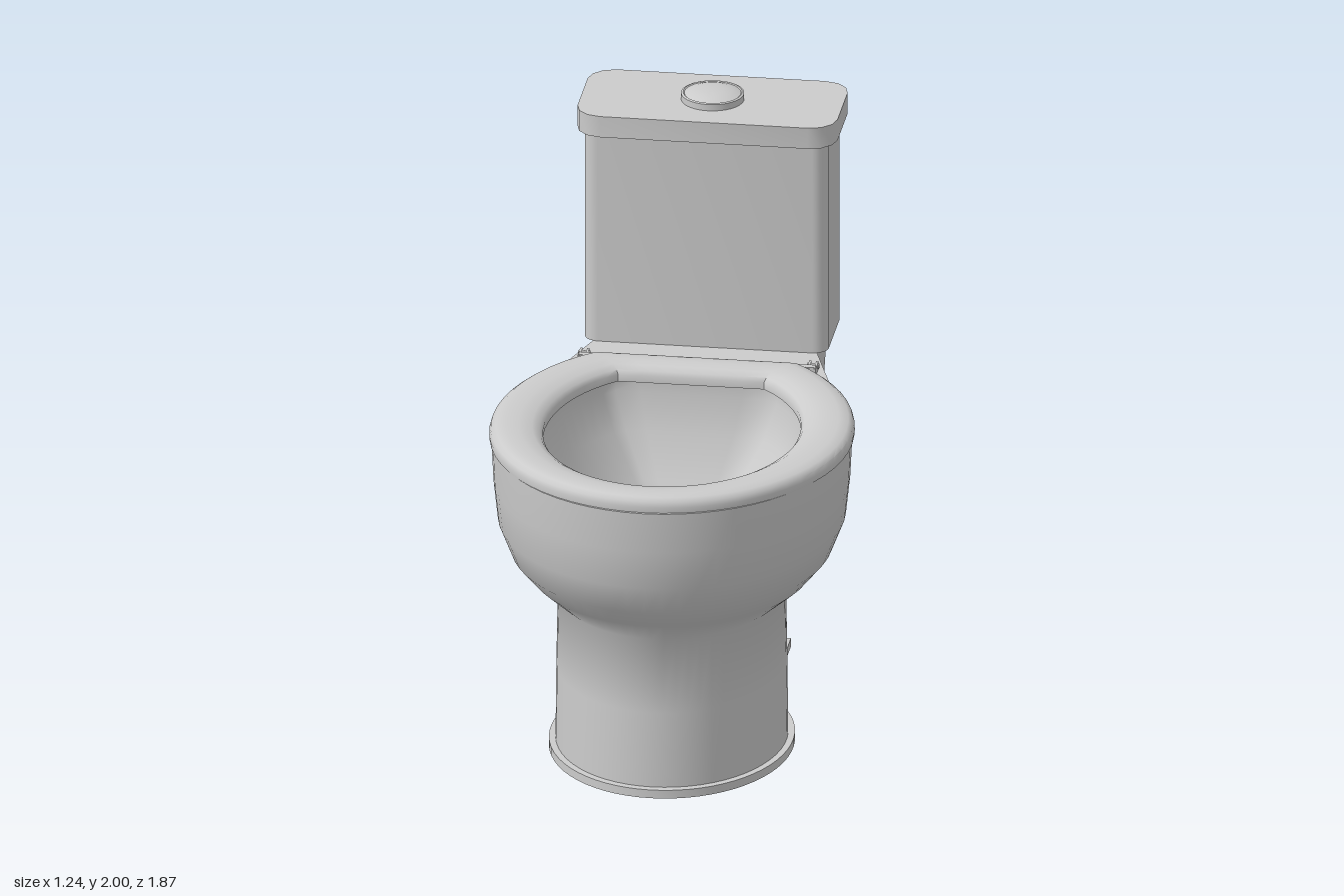
import * as THREE from 'three';
import { toCreasedNormals } from 'three/addons/utils/BufferGeometryUtils.js';

const grey = new THREE.MeshStandardMaterial({ color: 0xcccccc });
const greyBoth = new THREE.MeshStandardMaterial({ color: 0xcccccc, side: THREE.DoubleSide });

// Oval loop with a straight cut across the back, as [x, z] points.
// rx: half width, zc: widest position, zf: front, hw/zb: half width and position of the cut
function oval([rx, zc, zf, hw, zb], arc = 48, flat = 6) {
  const rb = (zc - zb) / Math.sqrt(1 - (hw / rx) ** 2);
  const start = -Math.acos(hw / rx);
  const points = [];
  for (let i = 0; i <= arc; i++) {
    const a = start + (Math.PI - 2 * start) * i / arc;
    const s = Math.sin(a);
    points.push([rx * Math.cos(a), zc + s * (s > 0 ? zf - zc : rb)]);
  }
  for (let i = 1; i < flat; i++) points.push([-hw + 2 * hw * i / flat, zb]);
  return points;
}

// Skin over rings of { y, points }
function loft(rings, crease = 0.65) {
  const n = rings[0].points.length;
  const pos = rings.flatMap(r => r.points.flatMap(([x, z]) => [x, r.y, z]));
  const index = [];
  for (let i = 0; i < rings.length - 1; i++) {
    for (let j = 0; j < n; j++) {
      const a = i * n + j, b = i * n + (j + 1) % n;
      index.push(a, a + n, b, b, a + n, b + n);
    }
  }
  const g = new THREE.BufferGeometry();
  g.setAttribute('position', new THREE.Float32BufferAttribute(pos, 3));
  g.setIndex(index);
  return toCreasedNormals(g, crease);
}

// Horizontal slab from [x, z] points
function slab(points, y, height, holes = []) {
  const flip = p => p.map(([x, z]) => new THREE.Vector2(x, -z));
  const shape = new THREE.Shape(flip(points));
  holes.forEach(h => shape.holes.push(new THREE.Path(flip(h))));
  const g = new THREE.ExtrudeGeometry(shape, { depth: height, bevelEnabled: false });
  g.rotateX(-Math.PI / 2).translate(0, y, 0);
  return toCreasedNormals(g, 0.6);
}

// Rectangle with rounded corners, as [x, z] points
function roundedRect(hx, z0, z1, r, steps) {
  const points = [];
  [[1, 1], [-1, 1], [-1, -1], [1, -1]].forEach(([sx, sz], q) => {
    const cx = sx * (hx - r), cz = sz > 0 ? z1 - r : z0 + r;
    for (let i = 0; i <= steps; i++) {
      const a = (q + i / steps) * Math.PI / 2;
      points.push([cx + r * Math.cos(a), cz + r * Math.sin(a)]);
    }
  });
  return points;
}

export function createModel() {
  const model = new THREE.Group();
  const add = (name, geometry, x = 0, y = 0, z = 0, material = grey) => {
    const m = new THREE.Mesh(geometry, material);
    m.name = name;
    m.position.set(x, y, z);
    model.add(m);
    return m;
  };
  const cyl = (r, h, sides = 12) => new THREE.CylinderGeometry(r, r, h, sides);

  // Pedestal, bowl, rim and hollow, in one skin: y, then the oval's numbers
  const bowl = [
    [0.002, 0.393, 0.23, 0.708, 0.22, -0.15],
    [0.3, 0.39, 0.23, 0.705, 0.22, -0.15],
    [0.57, 0.385, 0.23, 0.70, 0.22, -0.15],
    [0.65, 0.48, 0.23, 0.78, 0.27, -0.22],
    [0.73, 0.545, 0.23, 0.86, 0.31, -0.285],
    [0.84, 0.588, 0.23, 0.905, 0.335, -0.32],
    [0.98, 0.603, 0.23, 0.92, 0.345, -0.33],
    [1.125, 0.61, 0.23, 0.928, 0.35, -0.335],
    [1.125, 0.45, 0.23, 0.78, 0.26, -0.23],
    [1.08, 0.45, 0.23, 0.78, 0.26, -0.23],
    [0.95, 0.40, 0.22, 0.71, 0.22, -0.20],
    [0.8, 0.28, 0.17, 0.5, 0.15, -0.13],
    [0.68, 0.16, 0.11, 0.29, 0.08, -0.05],
    [0.6, 0.11, 0.08, 0.19, 0.06, -0.02],
  ].map(([y, ...o]) => ({ y, points: oval(o) }));
  bowl.push({ y: 0.5, points: bowl[0].points.map(() => [0, -0.02]) });
  add('bowl', loft(bowl, 1), 0, 0, 0, greyBoth);

  // Rear pillar swelling into the tank support: y, front half width, front z, back half width, back z
  const pillar = [
    [0.002, 0.22, -0.15, 0.22, -0.637],
    [0.57, 0.22, -0.15, 0.22, -0.637],
    [0.65, 0.27, -0.22, 0.265, -0.637],
    [0.74, 0.312, -0.285, 0.31, -0.64],
    [0.77, 0.32, -0.30, 0.325, -0.71],
    [0.85, 0.336, -0.32, 0.35, -0.78],
    [0.94, 0.343, -0.327, 0.37, -0.81],
    [1.125, 0.35, -0.335, 0.38, -0.825],
  ].map(([y, fx, fz, bx, bz]) => ({ y, points: [[fx, fz], [-fx, fz], [-bx, bz], [bx, bz]] }));
  pillar.push({ y: 1.125, points: Array(4).fill([0, -0.6]) });
  add('rearPillar', loft(pillar), 0, 0, 0, greyBoth);

  // Shelf behind the bowl
  const side = [[0.505, -0.16], [0.365, -0.61], [0.36, -0.7]];
  const mirror = p => p.map(([x, z]) => [-x, z]).reverse();
  add('shelf', slab([[0.34, -0.3], ...side, ...mirror(side), [-0.34, -0.3]], 1.042, 0.083));

  // Floor flange, open under the pedestal and the pillar
  const foot = oval([0.415, 0.23, 0.735, 0.28, -0.14]).slice(0, 49);
  add('floorFlange', slab([...foot, [-0.28, -0.65], [0.28, -0.65]], 0, 0.03, [
    oval([0.392, 0.23, 0.707, 0.218, -0.148]),
    [[0.218, -0.17], [0.218, -0.63], [-0.218, -0.63], [-0.218, -0.17]],
  ]));
  for (const s of [-1, 1]) {
    for (const z of [-0.22, -0.575]) {
      const bolt = new THREE.SphereGeometry(0.014, 10, 5, 0, Math.PI * 2, 0, Math.PI / 2);
      add('floorBolt', bolt.scale(1, 1.3, 1), s * 0.252, 0.03, z);
    }
  }

  // Seat ring: t runs from the outer oval to the inner one
  const outer = [0.618, 0.23, 0.92, 0.355, -0.35];
  const inner = [0.435, 0.23, 0.77, 0.25, -0.22];
  const seat = [
    [0.06, 1.12], [0.01, 1.125], [0, 1.145], [0.03, 1.163], [0.12, 1.175], [0.3, 1.18],
    [0.55, 1.18], [0.8, 1.173], [0.94, 1.16], [1, 1.145], [1, 1.12], [0.06, 1.12],
  ].map(([t, y]) => ({ y, points: oval(outer.map((v, k) => v + (inner[k] - v) * t)) }));
  add('seat', loft(seat));

  // Seat hinge
  add('hingeBar', cyl(0.009, 0.72).rotateZ(Math.PI / 2), 0, 1.14, -0.367);
  for (const s of [-1, 1]) {
    add('hingeBlock', new THREE.BoxGeometry(0.06, 0.03, 0.025), s * 0.375, 1.138, -0.367);
    for (const d of [-0.012, 0.012]) {
      add('hingeLug', new THREE.BoxGeometry(0.008, 0.03, 0.07), s * 0.392 + d, 1.136, -0.385);
    }
    add('hingePin', cyl(0.01, 0.04).rotateZ(Math.PI / 2), s * 0.392, 1.14, -0.4);
    add('hingeArm', new THREE.BoxGeometry(0.05, 0.025, 0.09), s * 0.35, 1.137, -0.325);
  }

  // Tank, lid and flush button
  add('tank', slab(roundedRect(0.417, -0.903, -0.547, 0.05, 6), 1.125, 0.765));
  add('tankLid', slab(roundedRect(0.445, -0.938, -0.521, 0.09, 3), 1.885, 0.076));
  const button = [[0.107, 1.955], [0.107, 1.984], [0.1, 1.987], [0.096, 1.984], [0.085, 1.988],
    [0.068, 1.994], [0.04, 1.998], [0, 2.0]].map(([r, y]) => new THREE.Vector2(r, y));
  add('flushButton', toCreasedNormals(new THREE.LatheGeometry(button, 32), 0.5), 0, 0, -0.73);

  // Water supply pipe with its valve
  const px = -0.4, pz = -0.835;
  add('supplyPipe', cyl(0.008, 1.12), px, 0.565, pz);
  add('pipeFoot', cyl(0.021, 0.012, 16), px, 0.006, pz);
  add('pipeNut', cyl(0.015, 0.02, 6), px, 1.115, pz);
  add('valveBody', cyl(0.012, 0.03), px, 0.54, pz);
  add('valveStem', cyl(0.006, 0.04).rotateX(Math.PI / 2), px, 0.54, pz - 0.02);
  add('valveHandle', cyl(0.01, 0.008).rotateX(Math.PI / 2), px, 0.54, pz - 0.04);
  add('valveOutlet', cyl(0.007, 0.03).rotateX(Math.PI / 2), px, 0.548, pz + 0.015);

  return model;
}
